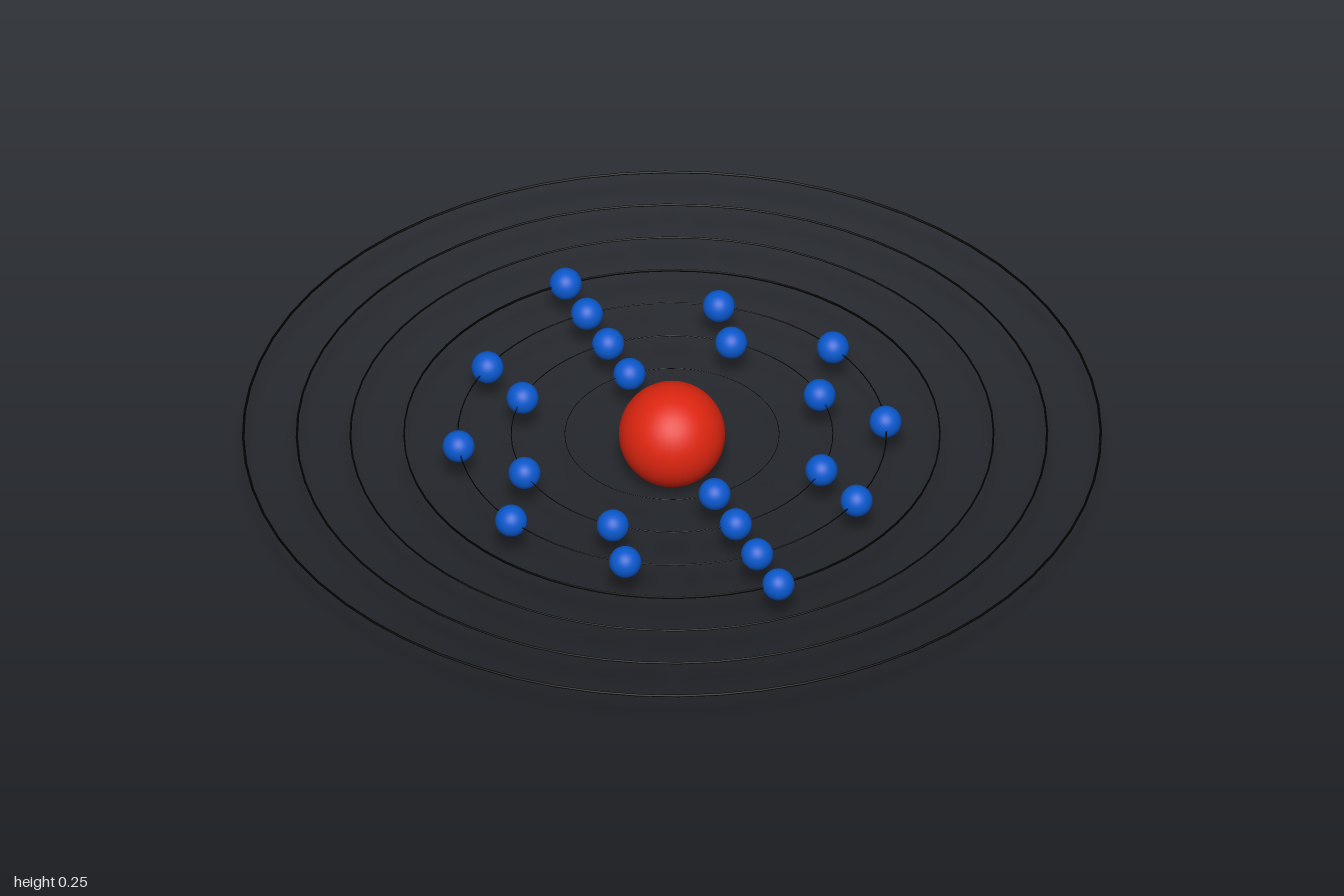
import * as THREE from 'three';

const CENTER_Y = 0.125;
const SHELL_STEP = 0.1247;
// Electron count on each orbit, from the innermost outwards
const ELECTRONS = [2, 8, 10, 2, 0, 0, 0];

export function createModel() {
  const model = new THREE.Group();
  model.name = 'atomModel';

  const red = new THREE.MeshStandardMaterial({ color: 0xdd2510 });
  const blue = new THREE.MeshStandardMaterial({ color: 0x0a58cc });
  const black = new THREE.MeshStandardMaterial({ color: 0x000000 });

  // Nucleus
  const nucleus = new THREE.Mesh(new THREE.SphereGeometry(0.124, 48, 32), red);
  nucleus.name = 'nucleus';
  nucleus.position.y = CENTER_Y;
  model.add(nucleus);

  const electronGeometry = new THREE.SphereGeometry(0.0375, 32, 20);

  ELECTRONS.forEach((count, i) => {
    const shell = new THREE.Group();
    shell.name = `shell${i + 1}`;
    shell.position.y = CENTER_Y;
    const radius = SHELL_STEP * (i + 2);

    // Thin orbit ring, its wire growing with the radius
    const wire = 0.003 * radius;
    const orbit = new THREE.Mesh(new THREE.TorusGeometry(radius, wire, 8, 64), black);
    orbit.name = 'orbit';
    orbit.rotation.x = Math.PI / 2;
    if (i === 3) orbit.scale.z = 2; // the outermost occupied ring is taller
    shell.add(orbit);

    // Electrons evenly spaced, starting at the back
    for (let k = 0; k < count; k++) {
      const angle = (k / count) * Math.PI * 2;
      const electron = new THREE.Mesh(electronGeometry, blue);
      electron.name = 'electron';
      electron.position.set(Math.sin(angle) * radius, 0, -Math.cos(angle) * radius);
      shell.add(electron);
    }
    model.add(shell);
  });

  return model;
}
